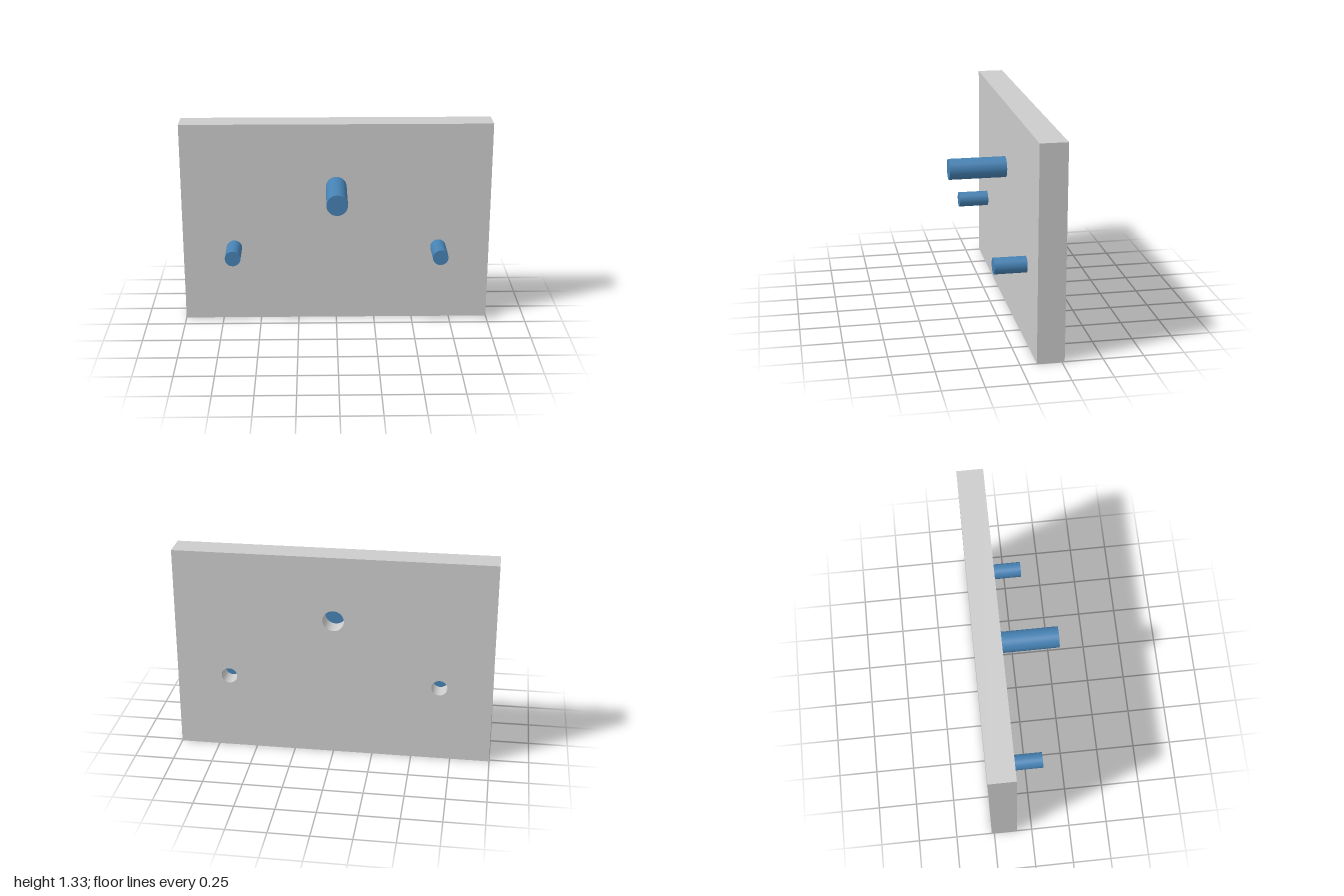
import * as THREE from 'three';
import { toCreasedNormals } from 'three/addons/utils/BufferGeometryUtils.js';

const WIDTH = 2, HEIGHT = 1.333, BACK = -0.267, FACE = -0.1;
const EMBED = 0.05; // how far each pin sits inside its hole

const PINS = [
  { name: 'centrePin', x: 0, y: 0.917, radius: 0.0667, tip: 0.267 },
  { name: 'leftPin', x: 0.667, y: 0.5, radius: 0.05, tip: 0.1 },
  { name: 'rightPin', x: -0.667, y: 0.5, radius: 0.05, tip: 0.1 },
];

// Upright plate with a through hole for every pin
function createPlate() {
  const w = WIDTH / 2;
  const shape = new THREE.Shape([
    new THREE.Vector2(-w, 0), new THREE.Vector2(w, 0),
    new THREE.Vector2(w, HEIGHT), new THREE.Vector2(-w, HEIGHT),
  ]);
  for (const { x, y, radius } of PINS) {
    shape.holes.push(new THREE.Path().absarc(x, y, radius, 0, Math.PI * 2, true));
  }
  const geometry = new THREE.ExtrudeGeometry(shape, {
    depth: FACE - BACK, bevelEnabled: false, curveSegments: 32,
  });
  const plate = new THREE.Mesh(
    toCreasedNormals(geometry, Math.PI / 6),
    new THREE.MeshStandardMaterial({ color: 0xcccccc }),
  );
  plate.position.z = BACK;
  plate.name = 'plate';
  return plate;
}

// Round pin pointing forward, filling the front part of its hole
function createPin({ name, x, y, radius, tip }, material) {
  const rear = FACE - EMBED;
  const geometry = new THREE.CylinderGeometry(radius, radius, tip - rear, 64);
  geometry.rotateX(Math.PI / 2);
  const pin = new THREE.Mesh(geometry, material);
  pin.position.set(x, y, (tip + rear) / 2);
  pin.name = name;
  return pin;
}

export function createModel() {
  const model = new THREE.Group();
  model.name = 'pinBoard';
  const blue = new THREE.MeshStandardMaterial({ color: 0x4682b4 });
  model.add(createPlate());
  for (const pin of PINS) model.add(createPin(pin, blue));
  return model;
}
